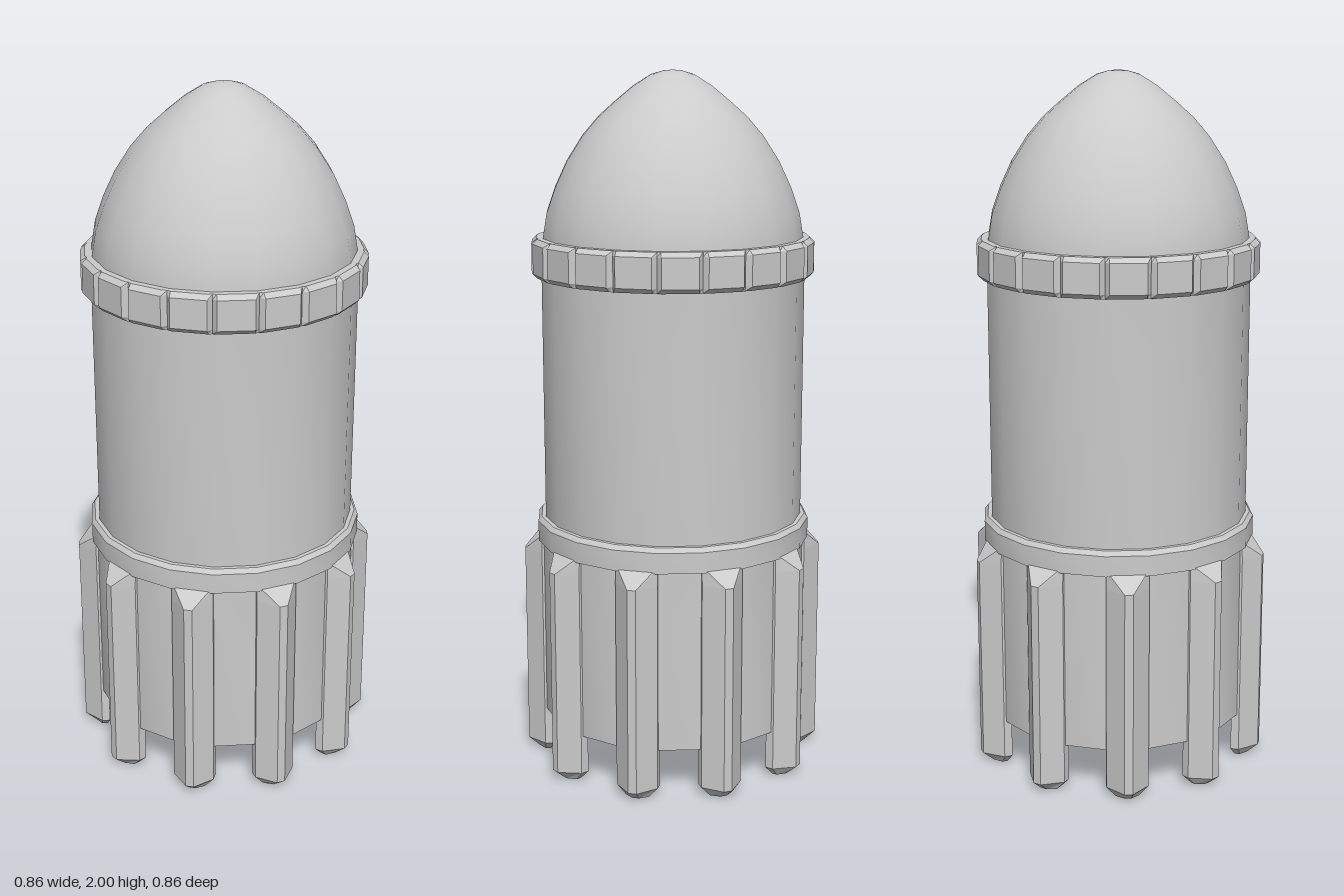
import * as THREE from 'three';
import { toCreasedNormals } from 'three/addons/utils/BufferGeometryUtils.js';

const SIDES = 20;
const STEP = (Math.PI * 2) / SIDES;

export function createModel() {
  const root = new THREE.Group();
  root.name = 'rocketCapsule';
  const smooth = new THREE.MeshStandardMaterial({ color: 0xcccccc });
  const flat = new THREE.MeshStandardMaterial({ color: 0xcccccc, flatShading: true });

  // Turned part from a [radius, height] profile, round but with crisp rims
  function turned(name, profile, crease = 0.45) {
    const pts = profile.map(([r, y]) => new THREE.Vector2(r, y));
    const geo = toCreasedNormals(new THREE.LatheGeometry(pts, SIDES), crease);
    const mesh = new THREE.Mesh(geo, smooth);
    mesh.name = name;
    root.add(mesh);
  }

  // Closed solid from stacked plan sections: { y, loop: [[x, z], ...] }
  function loft(sections) {
    const pos = [];
    const n = sections[0].loop.length;
    const put = (s, i) => pos.push(s.loop[i % n][0], s.y, s.loop[i % n][1]);
    for (let k = 0; k < sections.length - 1; k++) {
      const a = sections[k], b = sections[k + 1];
      for (let i = 0; i < n; i++) {
        put(a, i); put(a, i + 1); put(b, i + 1);
        put(a, i); put(b, i + 1); put(b, i);
      }
    }
    const low = sections[0], high = sections[sections.length - 1];
    for (let i = 1; i < n - 1; i++) {
      put(high, 0); put(high, i); put(high, i + 1);
      put(low, 0); put(low, i + 1); put(low, i);
    }
    const geo = new THREE.BufferGeometry();
    geo.setAttribute('position', new THREE.Float32BufferAttribute(pos, 3));
    geo.computeVertexNormals();
    return geo;
  }

  // Mirrored six-sided plan section: outer face, flanks, inner face
  const section = (y, tipW, tipR, baseW, baseR, innerR) => ({
    y,
    loop: [[-tipW, tipR], [tipW, tipR], [baseW, baseR],
      [baseW, innerR], [-baseW, innerR], [-baseW, baseR]],
  });

  // Repeats a part around the axis, centred on the facets
  function around(name, geo, count) {
    const group = new THREE.Group();
    group.name = name + 's';
    for (let i = 0; i < count; i++) {
      const mesh = new THREE.Mesh(geo, flat);
      mesh.name = name;
      mesh.rotation.y = STEP / 2 + (i * Math.PI * 2) / count;
      group.add(mesh);
    }
    root.add(group);
  }

  // Nose dome
  turned('nose', [
    [0.372, 1.48], [0.37, 1.54], [0.358, 1.61], [0.333, 1.68], [0.3, 1.75],
    [0.255, 1.82], [0.21, 1.872], [0.165, 1.912], [0.11, 1.957], [0.06, 1.988],
    [0.025, 1.998], [0, 2],
  ], 0.6);

  // Main barrel and its lower collar
  turned('body', [[0.375, 0.68], [0.375, 1.5]]);
  turned('lowerCollar', [
    [0.365, 0.663], [0.397, 0.663], [0.397, 0.722], [0.387, 0.735], [0.365, 0.735],
  ]);

  // Skirt wall with the hollow nozzle cone inside
  turned('skirt', [
    [0, 0.44], [0.12, 0.44], [0.12, 0.4], [0.15, 0.4],
    [0.348, 0.14], [0.382, 0.14], [0.382, 0.67],
  ]);

  // Bevelled panels of the upper ring
  around('ringPanel', loft([
    section(1.43, 0.05, 0.385, 0.06, 0.38, 0.355),
    section(1.443, 0.05, 0.398, 0.06, 0.383, 0.355),
    section(1.527, 0.05, 0.398, 0.06, 0.383, 0.355),
    section(1.54, 0.05, 0.385, 0.06, 0.38, 0.355),
  ]), SIDES);

  // Wedge-shaped ribs that also form the feet
  around('rib', loft([
    section(0, 0.01, 0.402, 0.034, 0.384, 0.368),
    section(0.028, 0.012, 0.434, 0.06, 0.384, 0.36),
    section(0.625, 0.012, 0.434, 0.06, 0.384, 0.36),
    section(0.668, 0.05, 0.391, 0.06, 0.382, 0.36),
  ]), SIDES / 2);

  return root;
}
